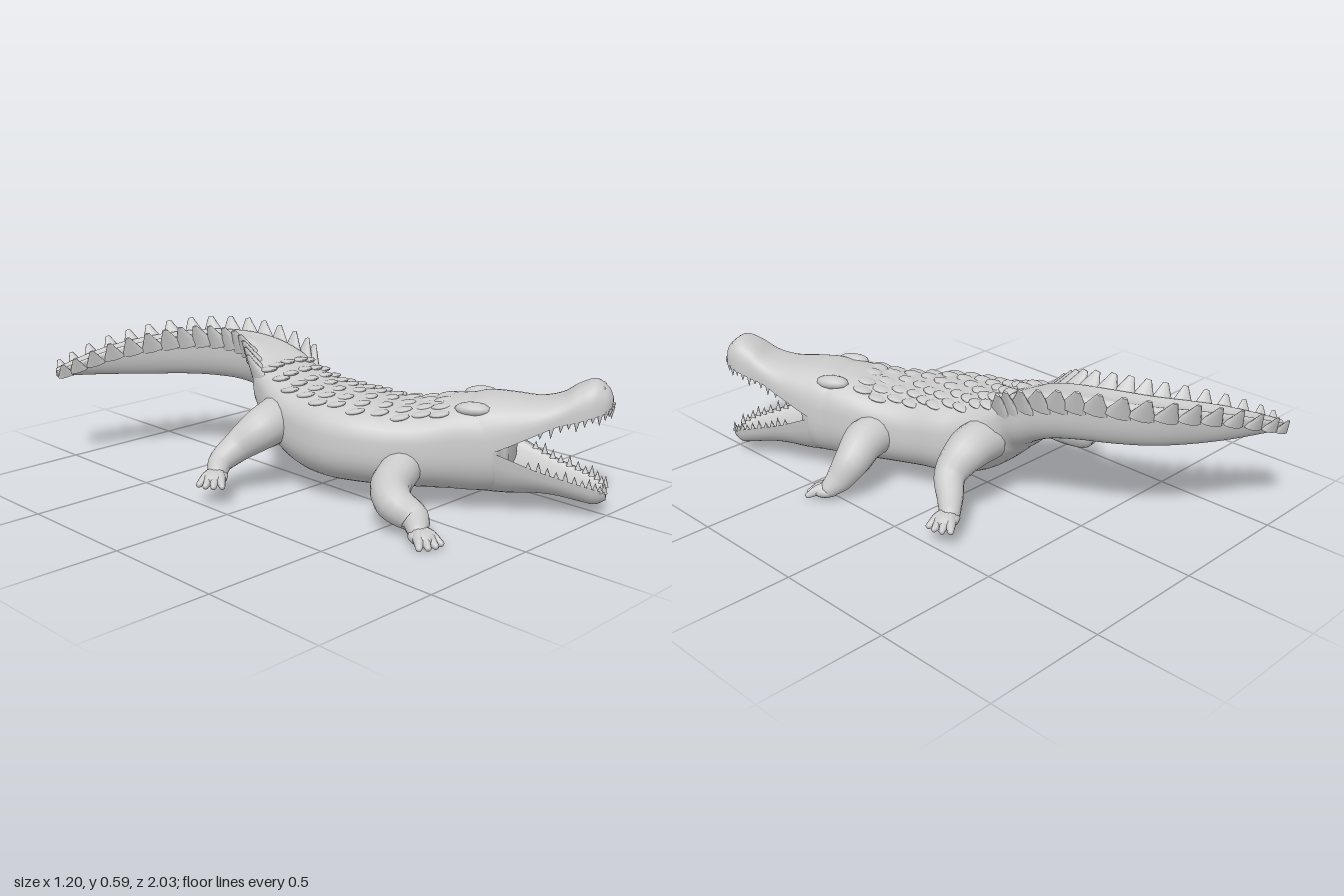
import * as THREE from 'three';

const mat = new THREE.MeshStandardMaterial({ color: 0xcccccc, side: THREE.DoubleSide });
const V = (x, y, z) => new THREE.Vector3(x, y, z);
const UP = V(0, 1, 0);
const pw = (v, e) => Math.sign(v) * Math.abs(v) ** e;

function add(parent, geometry, name) {
  const mesh = new THREE.Mesh(geometry, mat);
  mesh.name = name;
  parent.add(mesh);
  return mesh;
}

function group(parent, name) {
  const g = new THREE.Group();
  g.name = name;
  parent.add(g);
  return g;
}

// Sections are [x, z, halfWidth, bottomY, topY]; shape(angle, t) gives [u, v].
function makeSurface(sections, shape) {
  const path = new THREE.CatmullRomCurve3(sections.map(s => V(s[0], 0, s[1])), false, 'catmullrom', 0.5);
  const size = new THREE.CatmullRomCurve3(sections.map(s => V(s[2], s[3], s[4])), false, 'catmullrom', 0.5);
  const frame = t => {
    const forward = path.getTangent(t);
    return { c: path.getPoint(t), forward, side: V().crossVectors(UP, forward).normalize(), size: size.getPoint(t) };
  };
  const point = (angle, t, k = 1) => {
    const f = frame(t), [u, v] = shape(angle, t), mid = (f.size.y + f.size.z) / 2;
    const p = f.c.clone().addScaledVector(f.side, u * f.size.x * k);
    p.y = mid + (f.size.y + v * (f.size.z - f.size.y) - mid) * k;
    return p;
  };
  return { frame, point };
}

function loft(surface, steps, sides) {
  const pos = [], index = [];
  for (let i = -1; i <= steps + 1; i++) {
    const t = Math.min(1, Math.max(0, i / steps));
    const k = i < 0 || i > steps ? 0 : 1; // closed ends
    for (let j = 0; j < sides; j++) pos.push(...surface.point(j / sides * Math.PI * 2, t, k).toArray());
  }
  for (let i = 0; i < steps + 2; i++) for (let j = 0; j < sides; j++) {
    const a = i * sides + j, b = i * sides + (j + 1) % sides;
    index.push(a, b, a + sides, b, b + sides, a + sides);
  }
  const g = new THREE.BufferGeometry();
  g.setAttribute('position', new THREE.Float32BufferAttribute(pos, 3));
  g.setIndex(index);
  g.computeVertexNormals();
  return g;
}

// Tapered limb through points [x, y, z, radius]
function limb(parent, pts, name, sides = 16) {
  const curve = new THREE.CatmullRomCurve3(pts.map(p => V(p[0], p[1], p[2])));
  const steps = pts.length * 5;
  const g = new THREE.TubeGeometry(curve, steps, 1, sides);
  const pos = g.attributes.position, v = V();
  for (let i = 0; i <= steps; i++) {
    const c = curve.getPointAt(i / steps), s = curve.getUtoTmapping(i / steps) * (pts.length - 1);
    const k = Math.min(pts.length - 2, Math.floor(s));
    const r = THREE.MathUtils.lerp(pts[k][3], pts[k + 1][3], s - k);
    for (let j = 0; j <= sides; j++) {
      const n = i * (sides + 1) + j;
      v.fromBufferAttribute(pos, n).sub(c).multiplyScalar(r).add(c);
      pos.setXYZ(n, v.x, v.y, v.z);
    }
  }
  add(parent, g, name);
  const e = pts[pts.length - 1];
  add(parent, new THREE.SphereGeometry(e[3], sides, 10), name + 'End').position.set(e[0], e[1], e[2]);
}

// Stretched unit shape: y axis on `dir`, x axis close to `along`
const cone = new THREE.ConeGeometry(1, 1, 8, 1).translate(0, 0.5, 0);
const bluntCone = new THREE.CylinderGeometry(0.2, 1, 1, 12).translate(0, 0.5, 0);
const ball = new THREE.SphereGeometry(1, 12, 8);
function place(parent, geometry, at, dir, along, w, h, d, name) {
  const y = dir.clone().normalize();
  const z = V().crossVectors(along, y).normalize();
  const m = add(parent, geometry, name);
  m.quaternion.setFromRotationMatrix(new THREE.Matrix4().makeBasis(V().crossVectors(y, z), y, z));
  m.scale.set(w, h, d);
  m.position.copy(at);
}

// Tail is wider along its top than its underside, with a trough between the crests
const bodyShape = (a, t) => {
  const s = Math.sin(a), v = 0.5 + 0.5 * pw(s, s > 0 ? 0.65 : 0.9);
  const flare = 0.8 * Math.max(0, 1 - t / 0.5);
  const trough = s > 0 ? 0.35 * flare * s ** 6 : 0;
  return [pw(Math.cos(a), 0.8) * (1 + flare * (v - 0.5)), v - trough];
};
const upperShape = a => {
  const s = Math.sin(a);
  return [pw(Math.cos(a), 0.7), s >= 0 ? s ** 0.75 : 0.35 * Math.abs(s)];
};
const lowerShape = a => {
  const s = Math.sin(a);
  return [pw(Math.cos(a), 0.7) * (s < 0 ? 1 + 0.15 * s : 1), s <= 0 ? 1 - Math.abs(s) ** 0.75 : 1 - 0.4 * s];
};

// Place a head section by its distance along the turned head axis
const head = (a, hw, yb, yt) => [0.49 + 0.5 * a, 0.95 + 0.866 * a, hw, yb, yt];

export function createModel() {
  const model = new THREE.Group();
  model.name = 'crocodile';

  // Tail, torso and back of the head
  const body = makeSurface([
    [-0.585, -0.975, 0.02, 0.37, 0.405], [-0.50, -0.935, 0.035, 0.37, 0.445], [-0.38, -0.87, 0.045, 0.365, 0.495],
    [-0.26, -0.785, 0.053, 0.36, 0.53], [-0.15, -0.69, 0.062, 0.36, 0.552], [-0.07, -0.58, 0.068, 0.36, 0.565],
    [-0.015, -0.46, 0.074, 0.355, 0.565], [0.012, -0.36, 0.09, 0.335, 0.55], [0.012, -0.27, 0.122, 0.285, 0.52],
    [0, -0.2, 0.152, 0.22, 0.485], [0, -0.1, 0.19, 0.13, 0.445], [0.01, 0, 0.215, 0.085, 0.42],
    [0.03, 0.1, 0.235, 0.07, 0.41], [0.06, 0.2, 0.235, 0.07, 0.40], [0.11, 0.3, 0.225, 0.07, 0.388],
    [0.17, 0.4, 0.212, 0.07, 0.395], [0.225, 0.49, 0.2, 0.07, 0.42], [0.27, 0.57, 0.187, 0.07, 0.428],
    [0.317, 0.642, 0.166, 0.08, 0.415], [0.337, 0.68, 0.11, 0.14, 0.37]
  ], bodyShape);
  add(model, loft(body, 95, 40), 'body');

  // Open jaws, rooted inside the back of the head
  const upper = makeSurface([
    head(-0.52, 0.18, 0.22, 0.41), head(-0.42, 0.183, 0.24, 0.44), head(-0.32, 0.165, 0.28, 0.44),
    head(-0.22, 0.138, 0.325, 0.435), head(-0.14, 0.115, 0.36, 0.455), head(-0.08, 0.104, 0.375, 0.495),
    head(-0.02, 0.094, 0.395, 0.517), head(0.025, 0.068, 0.41, 0.49), head(0.045, 0.03, 0.42, 0.455)
  ], upperShape);
  const lower = makeSurface([
    head(-0.52, 0.18, 0.08, 0.32), head(-0.42, 0.18, 0.07, 0.28), head(-0.32, 0.162, 0.068, 0.24),
    head(-0.22, 0.135, 0.075, 0.195), head(-0.14, 0.112, 0.07, 0.165), head(-0.06, 0.097, 0.055, 0.14),
    head(0, 0.08, 0.045, 0.12), head(0.04, 0.04, 0.06, 0.10)
  ], lowerShape);
  add(model, loft(upper, 48, 36), 'upperJaw');
  add(model, loft(lower, 48, 36), 'lowerJaw');

  // Teeth along both rims, uneven in length
  const teeth = group(model, 'teeth');
  for (const [jaw, dy] of [[upper, -1], [lower, 1]]) for (const s of [1, -1]) for (let i = 0; i < 11; i++) {
    const t = 0.4 + i * 0.058, f = jaw.frame(t);
    const at = jaw.point(s > 0 ? 0 : Math.PI, t).addScaledVector(f.side, -s * 0.01);
    at.y -= dy * 0.008;
    const dir = V(0, dy, 0).addScaledVector(f.side, s * 0.15);
    place(teeth, cone, at, dir, f.forward, 0.012, [0.03, 0.046, 0.036][i % 3], 0.009, 'tooth');
  }

  // Brows and nostrils as soft swellings
  for (const s of [1, -1]) for (const [a, p, y, r, name] of [[-0.45, 0.12, 0.405, 0.045, 'brow'], [-0.01, 0.035, 0.495, 0.018, 'nostril']]) {
    const at = V(0.49 + 0.5 * a + 0.866 * s * p, y, 0.95 + 0.866 * a - 0.5 * s * p);
    place(model, ball, at, UP, V(0.5, 0, 0.866), r * 1.5, r * 0.6, r * 0.8, name);
  }

  // Two flared crests along the tail, the blunt spikes joined at their bases
  const crest = group(model, 'tailCrest');
  for (const s of [1, -1]) for (let i = 0; i < 16; i++) {
    const t = 0.02 + i * 0.0295, f = body.frame(t);
    const k = 0.6 + 0.4 * Math.sin(Math.min(1, i / 10) * Math.PI / 2);
    const at = body.point(Math.PI / 2 - s * 0.9, t);
    at.y -= 0.035;
    const dir = V(0, 1, 0).addScaledVector(f.side, s * 0.45).addScaledVector(f.forward, -0.3);
    place(crest, bluntCone, at, dir, f.forward, 0.055 * k, 0.098 * k, 0.022 * k, 'tailSpike');
  }

  // Rows of low rounded scutes on the back
  const scutes = group(model, 'backScutes');
  for (let i = 0; i < 11; i++) for (let j = -2; j <= 2; j++) {
    const t = 0.48 + i * 0.034, f = body.frame(t);
    const at = body.point(Math.PI / 2 - j * 0.3 - (i % 2 - 0.5) * 0.1, t);
    at.y -= 0.005;
    place(scutes, ball, at, V(0, 1, 0).addScaledVector(f.forward, -0.2), f.forward, 0.04, 0.011, 0.032, 'scute');
  }

  // Legs: [name, path with radii, toe heading in the ground plane]
  const legs = [
    ['leftFrontLeg', [[0.25, 0.23, 0.31, 0.08], [0.38, 0.22, 0.30, 0.085], [0.455, 0.165, 0.29, 0.072],
      [0.50, 0.09, 0.32, 0.055], [0.53, 0.05, 0.345, 0.038]], 0.3],
    ['rightFrontLeg', [[-0.02, 0.18, 0.44, 0.075], [-0.13, 0.145, 0.485, 0.076], [-0.19, 0.115, 0.56, 0.07],
      [-0.165, 0.07, 0.63, 0.056], [-0.2, 0.045, 0.68, 0.038]], -0.25],
    ['leftRearLeg', [[0.12, 0.29, -0.12, 0.09], [0.23, 0.275, -0.125, 0.085], [0.31, 0.195, -0.11, 0.062],
      [0.365, 0.135, -0.165, 0.05], [0.405, 0.105, -0.205, 0.04]], 1.85],
    ['rightRearLeg', [[-0.12, 0.29, -0.1, 0.095], [-0.23, 0.26, -0.10, 0.085], [-0.305, 0.19, -0.16, 0.062],
      [-0.375, 0.14, -0.18, 0.048], [-0.415, 0.112, -0.155, 0.04]], -1.05]
  ];
  for (const [name, pts, heading] of legs) {
    const leg = group(model, name);
    limb(leg, pts, 'limb');
    const [x, y, z] = pts[pts.length - 1];
    // Broad paw under the toes
    const ahead = V(Math.sin(heading), -0.25, Math.cos(heading));
    place(leg, ball, V(x, y - 0.006, z).addScaledVector(ahead, 0.025), UP, ahead, 0.055, 0.03, 0.05, 'paw');
    for (let i = 0; i < 4; i++) {
      const a = heading + (i - 1.5) * 0.37, dx = Math.sin(a), dz = Math.cos(a);
      limb(leg, [[x, y, z, 0.03], [x + dx * 0.05, y - 0.01, z + dz * 0.05, 0.023],
        [x + dx * 0.088, y - 0.03, z + dz * 0.088, 0.012]], 'toe', 8);
    }
  }
  return model;
}
